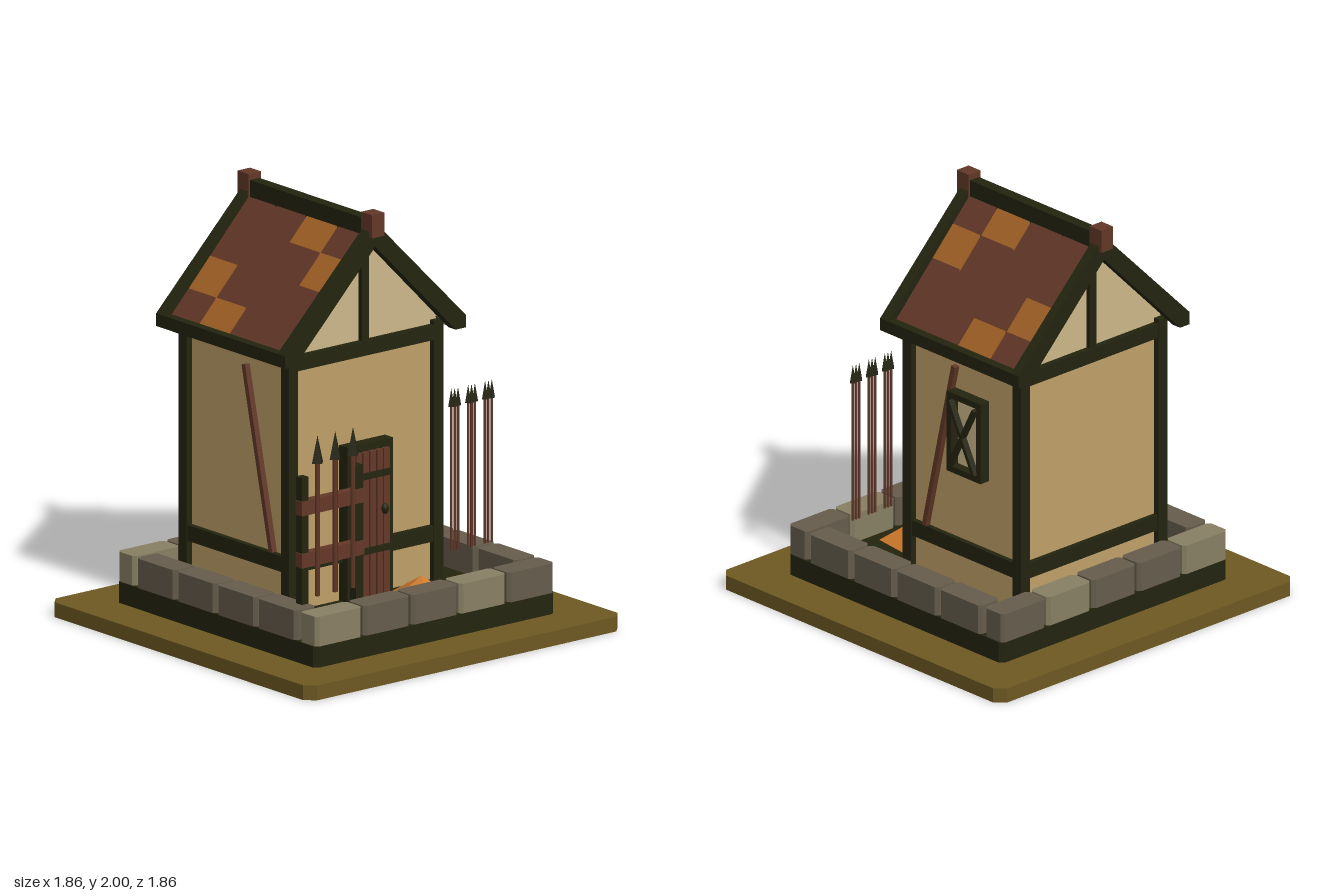
import * as THREE from 'three';

const mat = (name, hex) => new THREE.MeshStandardMaterial({ name, color: hex });

export function createModel() {
  const root = new THREE.Group();
  root.name = 'timberHouse';
  const grass = mat('grass', 0x6e5922);
  const dark = mat('darkTimber', 0x23240f);
  const stone = mat('stone', 0x665d4d);
  const paleStone = mat('paleStone', 0x898064);
  const plaster = mat('plaster', 0xc0a069);
  const palePlaster = mat('palePlaster', 0xcdb88a);
  const brown = mat('brownTimber', 0x633828);
  const ochre = mat('ochreTile', 0xa16124);
  const orange = mat('orange', 0xd07a2a);

  const add = (name, geo, material, x = 0, y = 0, z = 0, parent = root) => {
    const m = new THREE.Mesh(geo, material);
    m.name = name;
    m.position.set(x, y, z);
    parent.add(m);
    return m;
  };
  // box given by its two extreme corners
  const box = (name, material, x0, x1, y0, y1, z0, z1, parent) =>
    add(name, new THREE.BoxGeometry(x1 - x0, y1 - y0, z1 - z0), material,
      (x0 + x1) / 2, (y0 + y1) / 2, (z0 + z1) / 2, parent);
  // outline in x,y extruded between two z values
  const extrude = (name, material, pts, z0, z1, parent) => {
    const shape = new THREE.Shape(pts.map(p => new THREE.Vector2(...p)));
    const geo = new THREE.ExtrudeGeometry(shape, { depth: z1 - z0, bevelEnabled: false });
    return add(name, geo, material, 0, 0, z0, parent);
  };
  // upright slab with cut corners
  const slab = (name, material, x0, x1, y0, y1, z0, z1, c) => {
    const a = (x1 - x0) / 2, b = (z1 - z0) / 2;
    const pts = [[-a + c, -b], [a - c, -b], [a, -b + c], [a, b - c], [a - c, b], [-a + c, b], [-a, b - c], [-a, -b + c]];
    const shape = new THREE.Shape(pts.map(p => new THREE.Vector2(...p)));
    const geo = new THREE.ExtrudeGeometry(shape, { depth: y1 - y0, bevelEnabled: false }).rotateX(-Math.PI / 2);
    return add(name, geo, material, (x0 + x1) / 2, y0, (z0 + z1) / 2);
  };

  // ground and foundation
  slab('ground', grass, -0.93, 0.93, 0, 0.07, -0.93, 0.93, 0.045);
  slab('foundation', dark, -0.71, 0.71, 0.07, 0.17, -0.71, 0.71, 0.02);

  // ring of kerb stones
  for (const s of [-1, 1]) {
    for (let i = 0; i < 5; i++) {
      const x = -0.568 + i * 0.284, z = s * 0.649;
      slab('kerbStone', i % 3 === 0 ? paleStone : stone, x - 0.136, x + 0.136, 0.17, 0.31, z - 0.062, z + 0.062, 0.016);
    }
    for (let i = 0; i < 4; i++) {
      const z = -0.431 + i * 0.287, x = s * 0.649;
      slab('kerbStone', stone, x - 0.062, x + 0.062, 0.17, 0.31, z - 0.138, z + 0.138, 0.016);
    }
  }

  // plaster walls and timber frame
  const zF = 0.215, zB = -0.57;
  box('walls', plaster, -0.425, 0.425, 0.17, 1.38, zB + 0.03, zF - 0.03);
  for (const x of [-0.43, 0.43]) {
    for (const z of [zF - 0.028, zB + 0.028]) {
      box('cornerPost', dark, x - 0.028, x + 0.028, 0.17, 1.4, z - 0.028, z + 0.028);
    }
    box('sideSill', dark, x - 0.02, x + 0.02, 0.355, 0.43, zB + 0.03, zF - 0.03);
    box('sidePlate', dark, x - 0.025, x + 0.025, 1.36, 1.41, zB + 0.03, zF - 0.03);
  }
  for (const z of [zF - 0.025, zB + 0.025]) {
    box('endSill', dark, -0.43, 0.43, 0.355, 0.43, z - 0.02, z + 0.02);
    box('tieBeam', dark, -0.45, 0.45, 1.31, 1.38, z - 0.024, z + 0.024);
    box('kingPost', dark, -0.02, 0.02, 1.38, 1.85, z - 0.02, z + 0.02);
  }
  extrude('gables', palePlaster, [[-0.45, 1.38], [0.45, 1.38], [0.43, 1.455], [0, 1.905], [-0.43, 1.455]], zB + 0.03, zF - 0.03);

  // leaning braces on both sides
  for (const s of [-1, 1]) {
    const brace = add('wallBrace', new THREE.BoxGeometry(0.03, 0.87, 0.025), brown, s * 0.438, 0.855, -0.018);
    brace.rotation.x = -Math.atan2(0.195, 0.85);
  }

  // roof: tiled strips, each with one ochre patch
  const roofY = x => 1.92 - 1.04 * x;
  const cuts = [0.02, 0.13, 0.257, 0.383, 0.495];
  const strips = [[-0.59, -0.397, 2], [-0.389, -0.182, 3], [-0.174, 0.04, 0], [0.048, 0.23, 1]];
  for (const s of [-1, 1]) {
    for (const [z0, z1, patch] of strips) {
      for (let i = 0; i < 4; i++) {
        const a = cuts[i], b = cuts[i + 1];
        let pts = [[a, roofY(a)], [a, roofY(a) - 0.04], [b, roofY(b) - 0.04], [b, roofY(b)]];
        pts = pts.map(([x, y]) => [s * x, y]);
        extrude('roofTile', i === patch ? ochre : brown, pts, z0, z1);
      }
    }
    // light lining seen in the gaps
    const lining = [[0, 1.905], [0, 1.87], [0.49, 1.36], [0.49, 1.395]].map(([x, y]) => [s * x, y]);
    extrude('roofLining', palePlaster, lining, -0.58, 0.225);
    box('eaveBeam', dark, s > 0 ? 0.49 : -0.535, s > 0 ? 0.535 : -0.49, 1.36, 1.42, -0.635, 0.28);
  }
  // bargeboards, ridge and ridge caps
  const barge = [[0, 1.955], [-0.535, 1.42], [-0.535, 1.36], [-0.475, 1.36], [0, 1.84], [0.475, 1.36], [0.535, 1.36], [0.535, 1.42]];
  for (const [z0, z1] of [[0.227, 0.28], [-0.637, -0.587]]) {
    extrude('bargeboard', dark, barge, z0, z1);
  }
  box('ridgeBeam', dark, -0.028, 0.028, 1.86, 1.97, -0.6, 0.24);
  box('ridgeCap', brown, -0.037, 0.037, 1.89, 2, 0.222, 0.3);
  box('ridgeCap', brown, -0.037, 0.037, 1.89, 2, -0.657, -0.58);

  // door
  const door = new THREE.Group();
  door.name = 'door';
  root.add(door);
  box('doorFrame', dark, -0.135, 0.135, 0.17, 0.905, 0.18, 0.245, door);
  for (let i = 0; i < 5; i++) {
    const x = -0.082 + i * 0.041;
    box('doorPlank', brown, x - 0.017, x + 0.017, 0.17, 0.87, 0.24, 0.265, door);
  }
  for (const y of [0.405, 0.76]) box('doorStrap', dark, -0.1, 0.1, y - 0.014, y + 0.014, 0.25, 0.28, door);
  const handle = add('doorHandle', new THREE.SphereGeometry(0.02, 8, 6), dark, 0.06, 0.59, 0.278, door);
  handle.scale.set(0.9, 1.3, 0.8);

  // side window with crossed bars
  const win = new THREE.Group();
  win.name = 'window';
  root.add(win);
  box('windowPane', palePlaster, 0.42, 0.435, 0.78, 1.155, -0.315, -0.11, win);
  for (const z of [-0.115, -0.31]) box('windowJamb', dark, 0.42, 0.48, 0.77, 1.165, z - 0.015, z + 0.015, win);
  for (const y of [0.785, 1.15]) box('windowRail', dark, 0.42, 0.48, y - 0.015, y + 0.015, -0.325, -0.1, win);
  for (const s of [-1, 1]) {
    const bar = add('windowBar', new THREE.BoxGeometry(0.03, 0.365, 0.018), dark, 0.485, 0.967, -0.2125, win);
    bar.rotation.x = s * Math.atan2(0.165, 0.32);
  }

  // spears: shaft with a four-sided head
  const spear = (x, z, y0, y1, shaftR, headR, headH) => {
    const g = new THREE.Group();
    g.name = 'spear';
    root.add(g);
    const len = y1 - headH - y0 + 0.01;
    add('shaft', new THREE.CylinderGeometry(shaftR, shaftR, len, 6), brown, x, y0 + len / 2, z, g);
    add('spearHead', new THREE.ConeGeometry(headR, headH, 4).toNonIndexed(), dark, x, y1 - headH / 2, z, g)
      .geometry.computeVertexNormals();
  };
  for (const x of [-0.55, -0.445, -0.34]) spear(x, 0.53, 0.345, 1.105, 0.012, 0.033, 0.13);
  for (const x of [0.34, 0.44, 0.54]) {
    for (const dx of [-0.02, 0, 0.02]) spear(x + dx, 0.435, 0.375, 1.145, 0.006, 0.018, 0.085);
  }

  // fence
  for (const x of [-0.605, -0.285]) box('fencePost', dark, x - 0.02, x + 0.02, 0.17, 0.91, 0.466, 0.51);
  for (const y of [0.518, 0.765]) box('fenceBoard', brown, -0.63, -0.26, y - 0.034, y + 0.034, 0.47, 0.515);

  // small five-sided heap
  const heap = new THREE.ConeGeometry(0.185, 0.11, 5, 1, false, 0.82).toNonIndexed();
  heap.computeVertexNormals();
  add('heap', heap, orange, 0.167, 0.225, 0.407);

  return root;
}
